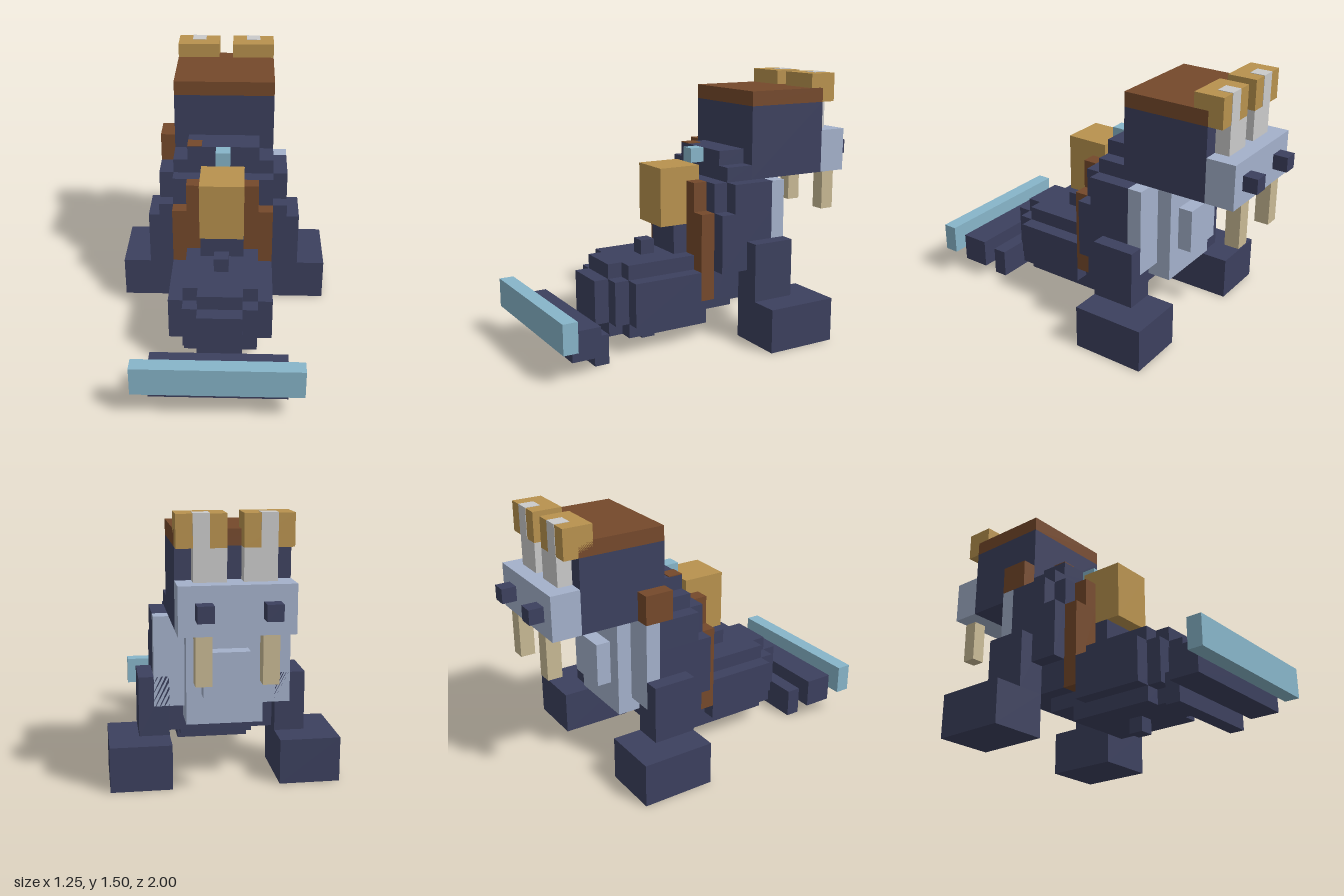
import * as THREE from 'three';

const U = 1 / 12; // one block

export function createModel() {
  const root = new THREE.Group();
  const mat = (name, color) => {
    const m = new THREE.MeshStandardMaterial({ color });
    m.name = name;
    return m;
  };
  const navy = mat('navy', 0x3c405e);
  const brown = mat('brown', 0x75492b);
  const tan = mat('tan', 0xb8924e);
  const sky = mat('sky blue', 0x87b5c9);
  const pale = mat('pale blue', 0xa4b1cb);
  const white = mat('white', 0xcacaca);
  const ivory = mat('ivory', 0xc8b994);

  // Box given by its limits in blocks
  const box = (name, m, x0, x1, y0, y1, z0, z1) => {
    const g = new THREE.BoxGeometry((x1 - x0) * U, (y1 - y0) * U, (z1 - z0) * U);
    const mesh = new THREE.Mesh(g, m);
    mesh.name = name;
    mesh.position.set((x0 + x1) * U / 2, (y0 + y1) * U / 2, (z0 + z1) * U / 2);
    root.add(mesh);
  };
  // Box centred on x
  const mid = (name, m, w, ...r) => box(name, m, -w, w, ...r);
  // Mirrored pair of boxes
  const pair = (name, m, x0, x1, ...r) => {
    box(name, m, x0, x1, ...r);
    box(name, m, -x1, -x0, ...r);
  };

  // Head
  mid('head', navy, 3.5, 11, 16, -9, -3);
  mid('headCap', brown, 3.5, 16, 17, -9, -3);
  mid('muzzle', pale, 3.5, 11, 14, -11, -9);
  pair('nostril', navy, 1.5, 2.5, 12, 13, -12, -11);
  pair('fang', ivory, 1.5, 2.5, 8, 11, -11, -10);
  pair('brow', tan, 0.5, 3.5, 16, 18, -10, -8);
  pair('browStripe', white, 1.5, 2.5, 16, 18.03, -10.03, -9);
  pair('eye', white, 0.5, 2.5, 14, 16, -10, -9);

  // Torso, stepped towards the shoulders
  mid('torso', navy, 3.5, 3, 11, -4, 0);
  mid('torsoBase', navy, 2.5, 2, 3, -2, 0);
  pair('flank', navy, 3.5, 4.5, 5, 9, -4, 0);
  pair('upperFlank', navy, 3.5, 4.5, 9, 11, -4, -1);
  mid('shoulders', navy, 3.5, 11, 12, -3, -1);
  mid('nape', navy, 2.5, 12, 13, -3, -1);
  box('shoulderPatch', brown, -4.5, -3.5, 11, 13, -5, -3);
  box('napePatch', brown, -2.5, -1.5, 13, 13.06, -2, -1);

  // Belly plates
  mid('belly', pale, 2.5, 4, 11, -6, -4);
  pair('bellySide', pale, 2.5, 4.5, 5, 11, -5, -4);
  mid('bellyBulge', pale, 1.5, 6, 9, -7, -6);

  // Back: brown bands, tan hump and spine spikes
  pair('backBand', brown, 1.5, 3.5, 3, 9, 0, 1);
  pair('upperBackBand', brown, 1.5, 2.5, 9, 11, 0, 1);
  mid('hump', tan, 1.5, 8, 12, 0, 3);
  mid('humpBase', navy, 1.5, 5, 8, 0, 2);
  mid('napeSpike', sky, 0.5, 12, 13, -1, 0.03);
  mid('backSpike', navy, 0.5, 6, 7, 3, 4);
  mid('undersideSpike', navy, 0.5, 0, 1, 3, 4);

  // Front limbs
  pair('foot', navy, 3.5, 7.5, 0, 3, -7, -2);
  pair('leg', navy, 3.5, 5.5, 3, 7, -5, -2);

  // Rounded hind body
  mid('hindBody', navy, 3.5, 2, 5, 1, 6);
  mid('hindCore', navy, 2.5, 1, 6, 0, 6);
  mid('hindEnd', navy, 2.5, 2, 5, 6, 7);
  mid('hindRidge', navy, 1.5, 1, 6, 6, 7);
  mid('hindTip', navy, 1.5, 2, 5, 7, 8);

  // Tail fan
  mid('tailBase', navy, 3.5, 0, 2, 8, 9);
  mid('tail', navy, 4.5, 1, 3, 9, 11);
  mid('tailFin', sky, 5.5, 2, 4, 11, 12);

  return root;
}
